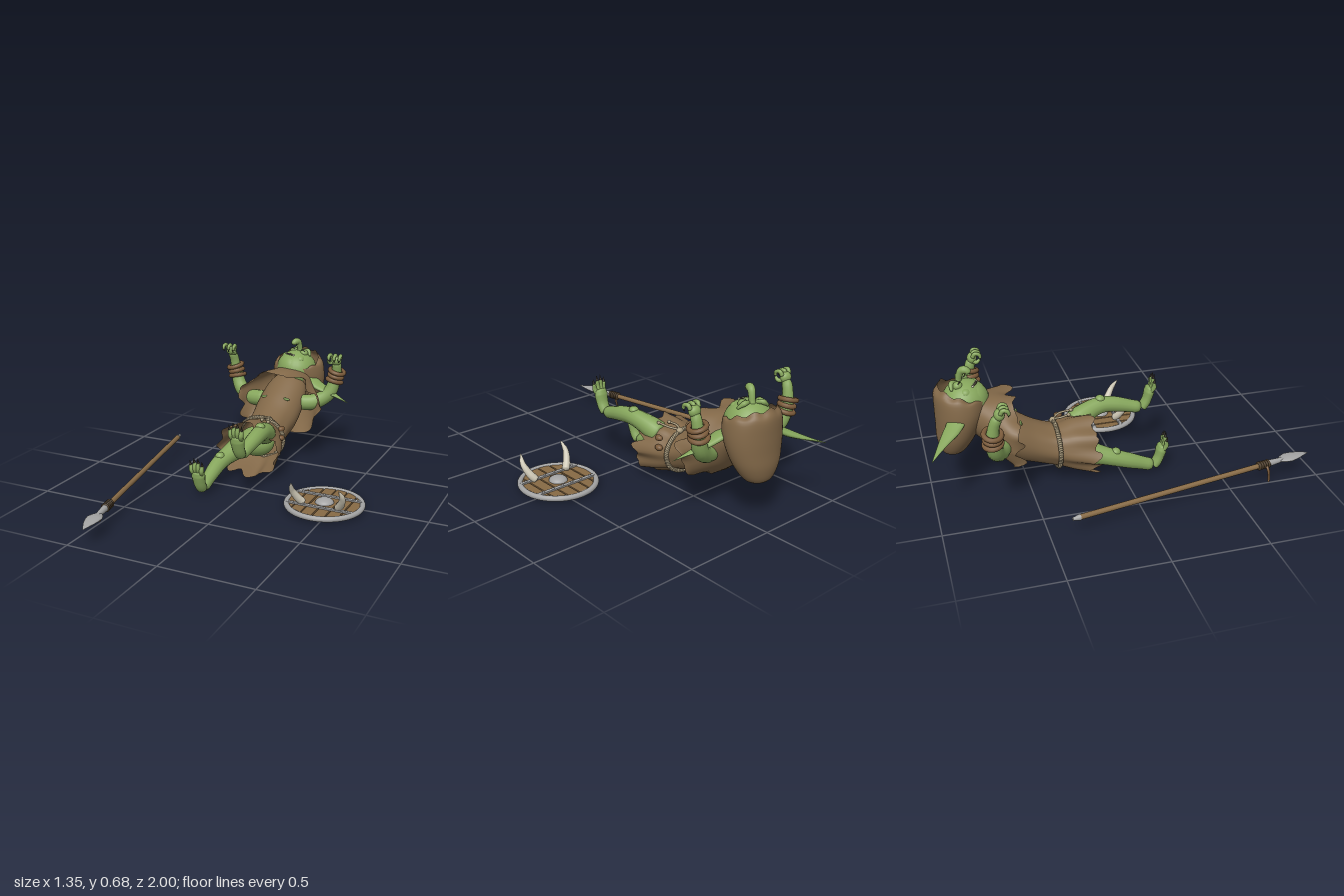
import * as THREE from 'three';
import { mergeVertices } from 'three/addons/utils/BufferGeometryUtils.js';

const mat = (name, color, side = THREE.FrontSide) => {
  const m = new THREE.MeshStandardMaterial({ color, side });
  m.name = name;
  return m;
};
const V = (p) => new THREE.Vector3(...p);
const add = (p, x, y, z) => [p[0] + x, p[1] + y, p[2] + z];

export function createModel() {
  const model = new THREE.Group();
  model.name = 'fallenSpearman';
  const skin = mat('green skin', 0x86a65c);
  const cloth = mat('brown cloth', 0x826848, THREE.DoubleSide);
  const wood = mat('wood', 0x876a45);
  const metal = mat('grey metal', 0xa3a3a3);
  const leather = mat('leather', 0x7a5a3a);
  const dark = mat('dark binding', 0x4c3c28);
  const bone = mat('bone', 0xcdc7b5);
  const claw = mat('dark claw', 0x39342c);
  const rope = mat('rope', 0xa39577);

  const put = (parent, name, geo, material, p = [0, 0, 0]) => {
    const mesh = new THREE.Mesh(geo, material);
    mesh.name = name;
    mesh.position.set(...p);
    parent.add(mesh);
    return mesh;
  };
  const ball = (parent, name, material, p, s) =>
    put(parent, name, new THREE.SphereGeometry(1, 28, 20), material, p).scale.set(...s);

  // Tube with changing radius and rounded ends, optionally flattened
  const limb = (parent, name, material, pts, radii, flat = [1, 1, 1], n = 28, seg = 14) => {
    const curve = new THREE.CatmullRomCurve3(pts.map(V));
    let geo = new THREE.TubeGeometry(curve, n, 1, seg);
    const pos = geo.attributes.position, v = new THREE.Vector3(), f = V(flat);
    for (let i = 0; i <= n; i++) {
      const c = curve.getPointAt(i / n), k = (i / n) * (radii.length - 1);
      const a = Math.min(Math.floor(k), radii.length - 2);
      let r = radii[a] + (radii[a + 1] - radii[a]) * (k - a);
      if (i === 0 || i === n) r = 0.0003;
      else if (i === 1 || i === n - 1) r *= 0.85;
      for (let j = 0; j <= seg; j++) {
        const q = i * (seg + 1) + j;
        v.fromBufferAttribute(pos, q).sub(c).multiplyScalar(r).multiply(f).add(c);
        pos.setXYZ(q, v.x, v.y, v.z);
      }
    }
    geo.deleteAttribute('uv');
    geo.deleteAttribute('normal');
    geo = mergeVertices(geo, 1e-6);
    geo.computeVertexNormals();
    return put(parent, name, geo, material);
  };

  // Skin through elliptical rings [x, y, z, width radius, other radius]
  const loft = (parent, name, rings, upright, warp = () => {}) => {
    const n = 30, seg = 80, pos = [], idx = [];
    const at = (k, u) => {
      const x = u * (rings.length - 1), i = Math.min(Math.floor(x), rings.length - 2);
      const g = (m) => rings[Math.max(0, Math.min(rings.length - 1, m))][k];
      const t = x - i, m0 = (g(i + 1) - g(i - 1)) / 2, m1 = (g(i + 2) - g(i)) / 2, d = g(i + 1) - g(i);
      return g(i) + m0 * t + (3 * d - 2 * m0 - m1) * t * t + (m0 + m1 - 2 * d) * t * t * t;
    };
    for (let i = 0; i <= n; i++) for (let j = 0; j < seg; j++) {
      const u = i / n, t = (j / seg) * Math.PI * 2, c = Math.cos(t), s = Math.sin(t);
      const [x, y, z, a, b] = [0, 1, 2, 3, 4].map((k) => at(k, u));
      const p = upright ? [x + a * c, y, z - b * s] : [x + a * c, y + b * s, z];
      warp(p, u, t, c, s);
      pos.push(...p);
      if (i < n) {
        const q = i * seg + j, r = i * seg + (j + 1) % seg;
        idx.push(q, q + seg, r, r, q + seg, r + seg);
      }
    }
    const geo = new THREE.BufferGeometry();
    geo.setAttribute('position', new THREE.Float32BufferAttribute(pos, 3));
    geo.setIndex(idx);
    geo.computeVertexNormals();
    return put(parent, name, geo, cloth);
  };
  // Ragged, wavy hem that fades out away from the edge
  const ragged = (wave, jag, n) => (p, u, t, c, s) => {
    const w = (1 - u) ** 4, r = wave * w * Math.sin(n * t + 0.7);
    p[0] += r * c;
    p[1] += r * s;
    p[2] += (1 - u) ** 7 * jag * (Math.abs(Math.sin(6.5 * t)) + 0.5 * Math.sin(11 * t) - 0.6);
  };

  // Tunic, shoulder cape and hood
  loft(model, 'tunic', [[-0.09, 0.17, -0.15, 0.185, 0.152], [-0.09, 0.18, -0.25, 0.162, 0.138],
    [-0.092, 0.188, -0.34, 0.132, 0.112], [-0.092, 0.225, -0.45, 0.125, 0.116],
    [-0.09, 0.28, -0.56, 0.135, 0.13], [-0.085, 0.36, -0.68, 0.125, 0.12],
    [-0.07, 0.42, -0.76, 0.08, 0.08]], false, ragged(0.012, 0.035, 8));
  loft(model, 'cape', [[-0.085, 0.325, -0.565, 0.258, 0.188], [-0.085, 0.345, -0.62, 0.235, 0.175],
    [-0.08, 0.37, -0.68, 0.185, 0.152], [-0.07, 0.41, -0.74, 0.13, 0.115],
    [-0.065, 0.42, -0.79, 0.1, 0.09]], false, ragged(0.016, 0.035, 7));
  loft(model, 'hood', [[-0.06, 0.55, -0.805, 0.122, 0.118], [-0.06, 0.535, -0.815, 0.148, 0.132],
    [-0.06, 0.46, -0.82, 0.16, 0.13], [-0.06, 0.38, -0.835, 0.152, 0.115],
    [-0.06, 0.3, -0.855, 0.125, 0.095], [-0.06, 0.23, -0.872, 0.075, 0.058],
    [-0.06, 0.205, -0.88, 0.002, 0.002]], true,
  (p, u, t, c, s) => { p[1] += (1 - u) ** 5 * (0.045 * s + 0.008 * Math.sin(9 * t)); });
  for (const x of [-0.16, -0.02]) ball(model, 'tunicTear', skin, [x, 0.374, -0.53], [0.022, 0.009, 0.006]);
  ball(model, 'pelvis', skin, [-0.09, 0.185, -0.27], [0.105, 0.085, 0.09]);

  // Two-strand rope belt with knot and loose ends
  for (const phase of [0, Math.PI]) {
    const pts = [];
    for (let i = 0; i < 200; i++) {
      const t = (i / 200) * Math.PI * 2, h = t * 40 + phase, r = 0.006 * Math.cos(h);
      pts.push(new THREE.Vector3(-0.092 + (0.139 + r) * Math.cos(t),
        0.188 + (0.119 + r) * Math.sin(t), -0.34 + 0.006 * Math.sin(h)));
    }
    put(model, 'ropeBelt', new THREE.TubeGeometry(new THREE.CatmullRomCurve3(pts, true), 500, 0.007, 6, true), rope);
  }
  ball(model, 'beltKnot', rope, [-0.045, 0.305, -0.34], [0.02, 0.016, 0.018]);
  for (const [x, z] of [[-0.06, -0.255], [-0.01, -0.23]]) {
    limb(model, 'ropeEnd', rope, [[-0.045, 0.31, -0.34], [x, 0.32, -0.3], [x + 0.01, 0.325, z]], [0.006, 0.006, 0.006]);
    ball(model, 'ropeEndKnot', rope, [x + 0.01, 0.325, z], [0.01, 0.01, 0.012]);
  }
  for (const y of [0.22, 0.275]) ball(model, 'beltCharm', leather, [0.055, y, -0.29], [0.018, 0.016, 0.024]);

  // Head, face up and tipped to one side
  const head = new THREE.Group();
  head.name = 'head';
  head.position.set(-0.065, 0.49, -0.79);
  head.rotation.y = -0.44;
  model.add(head);
  ball(head, 'skull', skin, [0, 0, 0], [0.124, 0.118, 0.122]);
  ball(head, 'jaw', skin, [0, 0.015, 0.05], [0.085, 0.085, 0.07]);
  limb(head, 'nose', skin, [[0, 0.09, -0.03], [0, 0.135, -0.025], [0, 0.172, -0.008], [0, 0.172, 0.018], [0, 0.155, 0.03]],
    [0.022, 0.016, 0.018, 0.021, 0.014]);
  limb(head, 'mouth', claw, [[-0.055, 0.088, 0.038], [-0.025, 0.1, 0.054], [0.025, 0.1, 0.054], [0.055, 0.088, 0.038]], [0.003, 0.007, 0.003]);
  for (const x of [-0.032, -0.011, 0.011, 0.032])
    ball(head, 'tooth', bone, [x, 0.102, 0.054], [0.005, 0.006, 0.006]);
  for (const s of [-1, 1]) {
    ball(head, 'eye', skin, [s * 0.043, 0.105, -0.02], [0.025, 0.022, 0.025]);
    limb(head, 'eyeSlit', claw, [[s * 0.024, 0.119, -0.012], [s * 0.043, 0.126, -0.008], [s * 0.062, 0.119, -0.012]], [0.002, 0.003, 0.002]);
    limb(head, 'brow', skin, [[s * 0.015, 0.112, -0.03], [s * 0.045, 0.117, -0.05], [s * 0.08, 0.09, -0.04]], [0.008, 0.014, 0.006]);
    ball(head, 'cheek', skin, [s * 0.06, 0.075, 0.025], [0.028, 0.025, 0.028]);
    limb(head, 'ear', skin, [[s * 0.09, -0.02, 0], [s * 0.18, -0.065, -0.012], [s * 0.28, -0.1, -0.035], [s * 0.395, -0.135, -0.053]],
      [0.03, 0.048, 0.042, 0.027, 0.013, 0.002], [0.4, 0.4, 1]);
  }

  // Arms raised from the elbow, with stacked bracelets and curled fingers
  const arm = (side, pts, hand) => {
    const g = new THREE.Group();
    g.name = side + 'Arm';
    model.add(g);
    limb(g, 'arm', skin, [...pts, hand], [0.045, 0.048, 0.045, 0.042, 0.036, 0.028, 0.026]);
    const dir = V(pts[4]).sub(V(pts[2])).normalize();
    [-0.03, 0, 0.03].forEach((d, i) => {
      const b = put(g, 'bracelet', new THREE.TorusGeometry(0.043 - i % 2 * 0.004, 0.013, 10, 32), leather,
        V(pts[3]).addScaledVector(dir, d).toArray());
      b.quaternion.setFromUnitVectors(new THREE.Vector3(0, 0, 1), dir);
      b.rotateX(0.12 * (i - 1));
    });
    ball(g, 'palm', skin, hand, [0.033, 0.03, 0.026]);
    for (const dx of [-0.026, 0, 0.026]) {
      limb(g, 'finger', skin, [add(hand, dx, 0.01, 0), add(hand, dx * 1.2, 0.033, 0.012), add(hand, dx * 1.3, 0.028, 0.035),
        add(hand, dx * 1.2, 0.006, 0.042)], [0.011, 0.011, 0.01, 0.008]);
      limb(g, 'fingerClaw', claw, [add(hand, dx * 1.2, 0.008, 0.042), add(hand, dx * 1.1, -0.006, 0.036)], [0.006, 0.001], [1, 1, 1], 6, 8);
    }
    const s = side === 'left' ? -1 : 1;
    limb(g, 'thumb', skin, [add(hand, s * 0.015, -0.015, 0.005), add(hand, s * 0.035, -0.012, 0.02), add(hand, s * 0.035, 0.004, 0.038)], [0.012, 0.011, 0.007]);
  };
  arm('right', [[-0.18, 0.33, -0.63], [-0.32, 0.325, -0.66], [-0.4, 0.365, -0.7], [-0.436, 0.46, -0.715], [-0.447, 0.54, -0.705]], [-0.455, 0.595, -0.68]);
  arm('left', [[0, 0.33, -0.64], [0.1, 0.335, -0.68], [0.18, 0.39, -0.715], [0.213, 0.495, -0.73], [0.22, 0.55, -0.725]], [0.22, 0.595, -0.71]);

  // Legs with knobbly knees, upturned feet and clawed toes
  const leg = (side, hip, knee, ankle) => {
    const g = new THREE.Group();
    g.name = side + 'Leg';
    model.add(g);
    limb(g, 'leg', skin, [hip, knee, ankle], [0.062, 0.06, 0.05, 0.045, 0.042, 0.036, 0.033]);
    ball(g, 'knee', skin, add(knee, 0, 0.036, 0), [0.027, 0.024, 0.027]);
    limb(g, 'foot', skin, [add(ankle, 0, -0.005, -0.004), add(ankle, 0, 0.04, 0.024), add(ankle, 0, 0.125, 0.047)],
      [0.03, 0.034, 0.036, 0.04, 0.032], [1, 1, 0.7]);
    for (const dx of [-0.03, -0.01, 0.01, 0.03]) {
      const l = Math.abs(dx) > 0.02 ? -0.015 : 0;
      limb(g, 'toe', skin, [add(ankle, dx * 0.8, 0.1, 0.044), add(ankle, dx, 0.14 + l, 0.058), add(ankle, dx * 1.15, 0.172 + l, 0.055)], [0.012, 0.013, 0.009]);
      limb(g, 'toeClaw', claw, [add(ankle, dx * 1.15, 0.165 + l, 0.057), add(ankle, dx * 1.2, 0.198 + l, 0.064)], [0.009, 0.001], [1, 1, 1], 8, 8);
    }
  };
  leg('left', [-0.02, 0.25, -0.24], [0.028, 0.315, -0.06], [0.027, 0.27, 0.18]);
  leg('right', [-0.16, 0.17, -0.24], [-0.21, 0.115, -0.04], [-0.21, 0.036, 0.175]);

  // Spear, built along its own z axis
  const spear = new THREE.Group();
  spear.name = 'spear';
  spear.position.set(-0.67, 0.095, -0.39);
  spear.rotation.y = 0.186;
  model.add(spear);
  const rod = (name, material, z0, z1, r0, r1) =>
    put(spear, name, new THREE.CylinderGeometry(r1, r0, z1 - z0, 20).rotateX(Math.PI / 2), material, [0, 0, (z0 + z1) / 2]);
  rod('shaft', wood, 0.03, 1.15, 0.014, 0.014);
  rod('buttCap', metal, 0, 0.04, 0.008, 0.016);
  rod('spearSocket', metal, 1.13, 1.24, 0.019, 0.012);
  for (let i = 0; i < 5; i++)
    put(spear, 'binding', new THREE.TorusGeometry(0.016, 0.008, 8, 20), dark, [0, 0, 1.08 + i * 0.014]);
  limb(spear, 'spearBlade', metal, [[0, 0, 1.2], [0, 0.004, 1.3], [0, 0, 1.404]], [0.01, 0.032, 0.042, 0.037, 0.028, 0.015, 0.001], [1, 0.28, 1]);
  limb(spear, 'hangingStrap', leather, [[-0.015, 0, 1.12], [-0.032, -0.02, 1.12], [-0.035, -0.055, 1.125], [-0.042, -0.088, 1.12]], [0.008, 0.008, 0.007], [0.6, 1, 1]);

  // Round shield lying flat
  const shield = new THREE.Group();
  shield.name = 'shield';
  shield.position.set(0.455, 0.025, 0.055);
  model.add(shield);
  const R = 0.2, w = (2 * R) / 6;
  for (let k = 0; k < 6; k++) {
    const a = -R + k * w + 0.004, b = a + w - 0.008, top = [], low = [];
    for (let i = 0; i <= 6; i++) {
      const x = a + ((b - a) * i) / 6, h = Math.sqrt(R * R - x * x);
      top.unshift(new THREE.Vector2(x, h));
      low.push(new THREE.Vector2(x, -h));
    }
    const geo = new THREE.ExtrudeGeometry(new THREE.Shape([...low, ...top]), { depth: 0.014, bevelEnabled: false });
    put(shield, 'plank', geo.rotateX(-Math.PI / 2), wood, [0, -0.007, 0]);
  }
  put(shield, 'rim', new THREE.TorusGeometry(0.2, 0.015, 14, 72).rotateX(Math.PI / 2), metal);
  ball(shield, 'boss', metal, [0, 0.005, 0], [0.05, 0.028, 0.05]);
  for (const z of [-0.078, 0.08]) {
    put(shield, 'crossBar', new THREE.BoxGeometry(0.365, 0.008, 0.02), metal, [0, 0.011, z]);
    for (let k = 0; k < 6; k++) ball(shield, 'rivet', metal, [(k - 2.5) * 0.06, 0.015, z], [0.007, 0.006, 0.007]);
  }
  for (const s of [-1, 1])
    limb(shield, 'horn', bone, [[s * 0.092, 0.012, 0.06], [s * 0.115, 0.04, 0.08], [s * 0.138, 0.095, 0.115], [s * 0.13, 0.148, 0.15]],
      [0.021, 0.021, 0.018, 0.013, 0.003]);

  return model;
}
